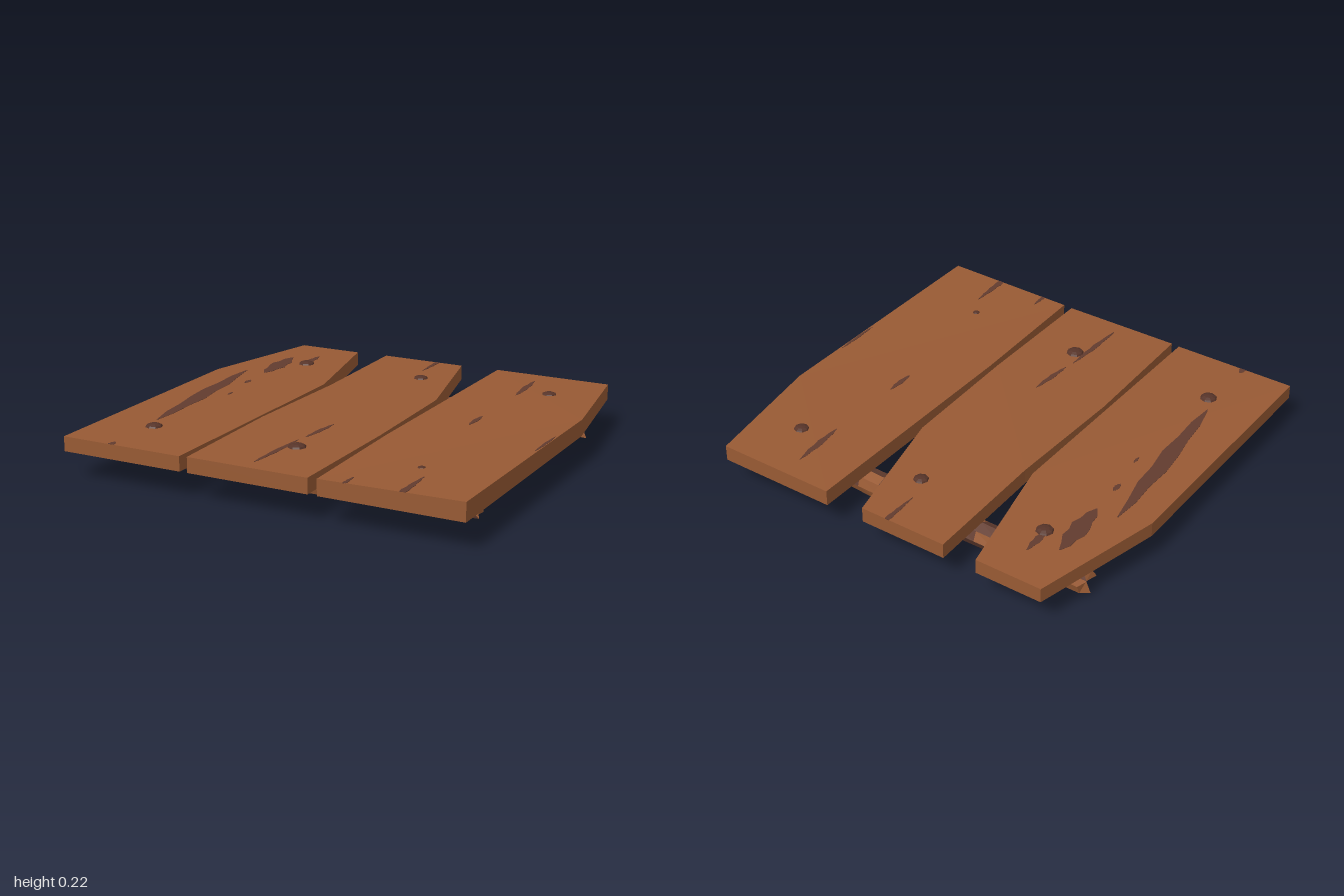
import * as THREE from 'three';

const BOTTOM = 0.135, BACK = -0.965, FRONT = 0.965;

const mat = (name, color) => {
  const m = new THREE.MeshStandardMaterial({ color });
  m.name = name;
  return m;
};

const add = (parent, name, geometry, material) => {
  const m = new THREE.Mesh(geometry, material);
  m.name = name;
  parent.add(m);
  return m;
};

// Faceted normals for hard low-poly edges
const facet = (geometry) => {
  const g = geometry.index ? geometry.toNonIndexed() : geometry;
  g.computeVertexNormals();
  return g;
};

// Horizontal slab between two height functions; the outline is [x, z] pairs
function slab(outline, low, high) {
  const shape = new THREE.Shape(outline.map(([x, z]) => new THREE.Vector2(x, -z)));
  const g = new THREE.ExtrudeGeometry(shape, { depth: 1, bevelEnabled: false });
  g.rotateX(-Math.PI / 2);
  const p = g.attributes.position;
  for (let i = 0; i < p.count; i++) {
    p.setY(i, (p.getY(i) > 0.5 ? high : low)(p.getX(i), p.getZ(i)));
  }
  return facet(g);
}

// Ragged spindle outline along the grain; it stays wide where it meets a plank end
function streak(x1, z1, x2, z2, half) {
  const open = Math.abs(z2) === FRONT;
  const steps = 7, leftSide = [], rightSide = [];
  for (let i = 0; i <= steps; i++) {
    const t = i / steps;
    const w = half * (0.06 + Math.sin(t * Math.PI * (open ? 0.5 : 1)) ** 0.8);
    const x = x1 + (x2 - x1) * t, z = z1 + (z2 - z1) * t;
    leftSide.push([x - w * (1 + 0.2 * Math.sin(i * 2.3)), z]);
    rightSide.unshift([x + w * (1 + 0.2 * Math.sin(i * 3.1 + 1)), z]);
  }
  return [...leftSide, ...rightSide];
}

// Bent eight-sided branch with splintered ends and streaked bark
function branch(zAt, seed) {
  const rings = 16, sides = 8;
  const g = new THREE.CylinderGeometry(0.063, 0.063, 1.78, sides, rings);
  g.rotateZ(Math.PI / 2);
  const p = g.attributes.position;
  for (let i = 0; i < p.count; i++) {
    let x = p.getX(i);
    const y = p.getY(i), z = p.getZ(i);
    const a = Math.round(Math.atan2(z, y) / (Math.PI / 4)) % sides;
    const corner = (a + sides) % sides;
    const taper = 1 - 0.16 * x * x + 0.05 * Math.sin(x * 7 + corner * 2 + seed);
    if (Math.hypot(y, z) > 0.01 && Math.abs(x) > 0.88) {
      x += Math.sign(x) * 0.028 * Math.sin(corner * 2.4 + seed);
    }
    p.setXYZ(i, x, 0.069 + 0.013 * x * x + y * taper, zAt(x) + z * taper);
  }
  const caps = g.groups.slice(1);
  g.clearGroups();
  for (let s = 0; s < sides; s++) {
    for (let r = 0; r < rings; r++) {
      const n = Math.sin(Math.floor((r + s) / 2) * 12.99 + s * 78.23 + seed * 3.7) * 43758.5;
      g.addGroup((s * rings + r) * 6, 6, n - Math.floor(n) < 0.48 ? 1 : 0);
    }
  }
  caps.forEach((c) => g.addGroup(c.start, c.count, 0));
  return facet(g);
}

export function createModel() {
  const wood = mat('brownWood', 0x985a34);
  const stain = mat('darkStain', 0x623c2f);
  const nailBrown = mat('nailBrown', 0x573429);
  const model = new THREE.Group();
  model.name = 'plankPlatform';

  // Plank with a height function for its upper face
  function plank(name, top, outline) {
    const group = new THREE.Group();
    group.name = name;
    model.add(group);
    add(group, 'board', slab(outline, () => BOTTOM, top), wood);
    const topStain = (...s) => add(group, 'stain',
      slab(streak(...s), (x, z) => top(x, z) - 0.002, (x, z) => top(x, z) + 0.0015), stain);
    const throughStain = (...s) => {
      topStain(...s);
      add(group, 'undersideStain', slab(streak(...s), () => BOTTOM - 0.0015, () => BOTTOM + 0.002), stain);
    };
    return { topStain, throughStain };
  }

  const right = plank('rightPlank', () => 0.206,
    [[-1, FRONT], [-0.38, FRONT], [-0.37, -0.33], [-0.51, BACK], [-0.84, BACK], [-0.995, -0.33]]);
  right.throughStain(-0.85, -0.38, -0.77, 0.56, 0.036);
  right.throughStain(-0.765, -0.71, -0.745, -0.38, 0.04);
  right.topStain(-0.65, -0.79, -0.65, -0.62, 0.016);
  right.topStain(-0.735, -0.23, -0.735, -0.17, 0.012);
  right.topStain(-0.7, 0, -0.7, 0.05, 0.006);
  right.topStain(-0.745, 0.925, -0.743, FRONT, 0.015);

  const middle = plank('middlePlank', () => 0.209,
    [[-0.34, FRONT], [0.26, FRONT], [0.265, 0.3], [0.25, -0.33], [0.1, BACK], [-0.34, BACK], [-0.33, -0.33], [-0.355, 0.3]]);
  middle.topStain(-0.037, -0.78, -0.037, BACK, 0.011);
  middle.topStain(0, 0.25, -0.02, 0.48, 0.012);
  middle.topStain(-0.03, 0.53, -0.045, 0.89, 0.012);

  const left = plank('leftPlank', (x, z) => 0.212 + 0.012 * ((x - 0.3) / 0.7) * (0.5 + z * 0.5),
    [[0.305, FRONT], [0.988, FRONT], [0.998, -0.33], [0.9, BACK], [0.302, BACK], [0.29, 0.28]]);
  left.topStain(0.553, -0.85, 0.567, -0.57, 0.015);
  left.topStain(0.563, -0.17, 0.562, -0.02, 0.012);
  left.topStain(0.7, 0.75, 0.703, FRONT, 0.015);
  left.topStain(0.435, 0.88, 0.435, FRONT, 0.009);
  left.topStain(0.985, -0.02, 0.983, 0.22, 0.007);

  // Supporting branches
  add(model, 'frontBranch', branch(() => 0.625, 1), [wood, stain]);
  add(model, 'backBranch', branch((x) => -0.663 + 0.03 * x, 4), [wood, stain]);

  // Domed nail head above, blunt knob below where the nail meets the branch
  function nail(x, z, radius, surface) {
    const dome = new THREE.SphereGeometry(radius, 8, 3, 0, Math.PI * 2, 0, Math.PI / 2);
    const head = add(model, 'nailHead', facet(dome), nailBrown);
    head.position.set(x, surface - 0.001, z);
    head.scale.y = 0.42;
    const knob = add(model, 'nailKnob', facet(new THREE.IcosahedronGeometry(0.04, 0)), nailBrown);
    knob.position.set(x, 0.125, z + Math.sign(z) * 0.025);
    knob.scale.y = 0.5;
  }
  nail(-0.64, -0.635, 0.042, 0.206);
  nail(0.015, -0.65, 0.037, 0.209);
  nail(0.705, -0.66, 0.038, 0.212);
  nail(-0.725, 0.65, 0.042, 0.206);
  nail(0.015, 0.62, 0.044, 0.209);
  nail(0.635, 0.64, 0.018, 0.216);

  // Bent nail shanks showing beside the branches
  for (const [x, z] of [[0.64, 0.675], [0.705, -0.69]]) {
    const shank = add(model, 'nailShank', facet(new THREE.CylinderGeometry(0.025, 0.036, 0.09, 6)), nailBrown);
    shank.position.set(x, 0.085, z);
  }
  return model;
}
